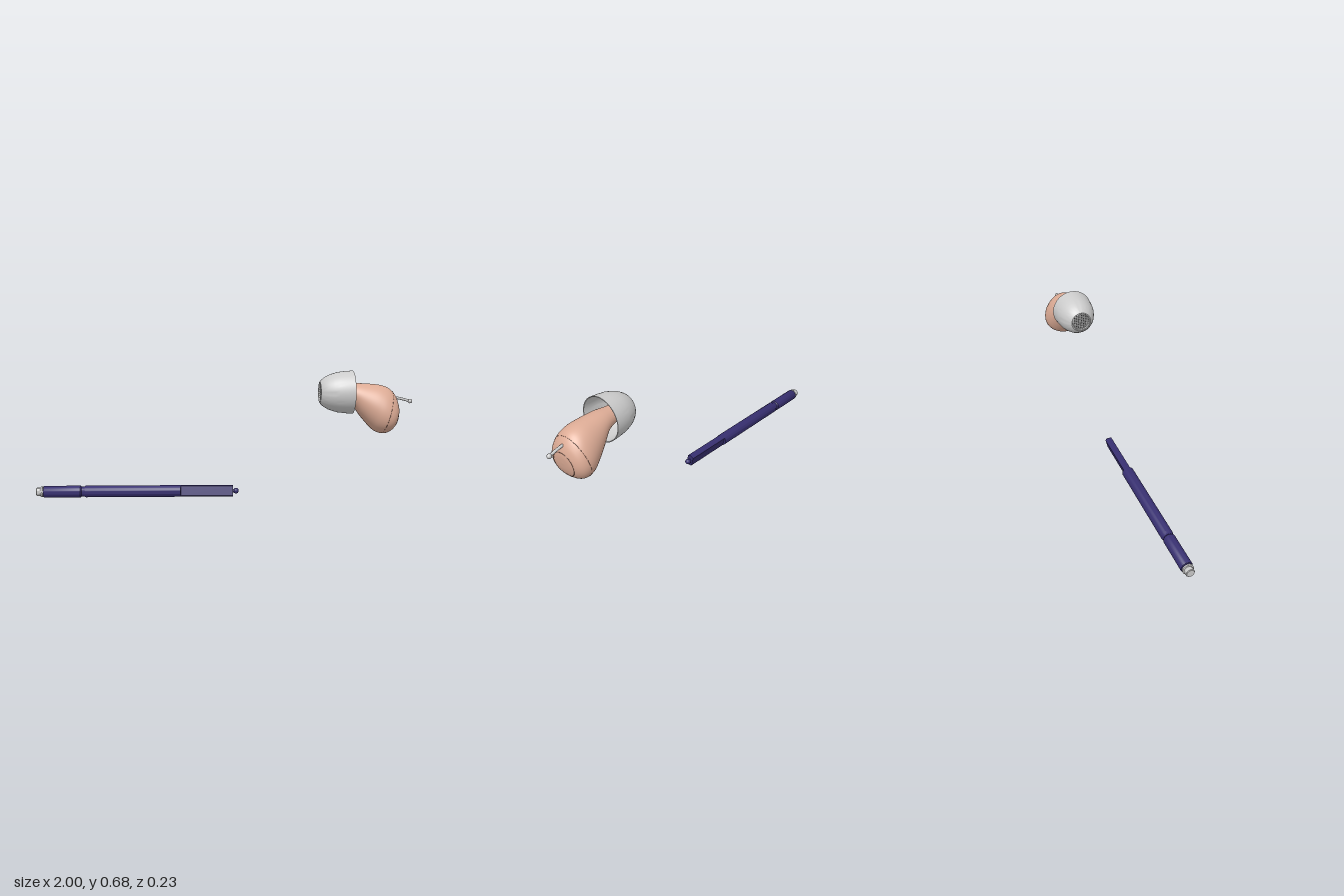
import * as THREE from 'three';
import { toCreasedNormals, mergeVertices } from 'three/addons/utils/BufferGeometryUtils.js';

const mat = (color) => new THREE.MeshStandardMaterial({ color });
const grey = mat(0xcccccc), skin = mat(0xdcab95), seam = mat(0x8a6354);
const navy = mat(0x372f70), dark = mat(0x444444);
const PEN_Y = 0.033;

function add(parent, name, geometry, material, x = 0, y = 0, z = 0) {
  const mesh = new THREE.Mesh(geometry, material);
  mesh.name = name;
  mesh.position.set(x, y, z);
  parent.add(mesh);
  return mesh;
}

// Turned part along x; the profile lists [x, radius]
function turned(profile, segments = 48) {
  const g = new THREE.LatheGeometry(profile.map(([x, r]) => new THREE.Vector2(r, x)), segments);
  g.rotateZ(-Math.PI / 2);
  return toCreasedNormals(g, 0.6);
}

// Thin closed line through points
const loopTube = (pts, r) =>
  new THREE.TubeGeometry(new THREE.CatmullRomCurve3(pts, true), 96, r, 6, true);

// Shell sections: top x, y, half width, then bottom x, y
const SECTIONS = [
  [0.53, 0.602, 0.042, 0.53, 0.522],
  [0.62, 0.605, 0.047, 0.61, 0.52],
  [0.69, 0.61, 0.063, 0.67, 0.503],
  [0.76, 0.608, 0.085, 0.72, 0.44],
  [0.83, 0.6, 0.105, 0.765, 0.388],
  [0.87, 0.585, 0.114, 0.8, 0.357],
  [0.893, 0.565, 0.114, 0.835, 0.345],
  [0.91, 0.54, 0.104, 0.868, 0.35],
  [0.92, 0.512, 0.082, 0.896, 0.373],
  [0.924, 0.485, 0.05, 0.912, 0.405],
  [0.921, 0.445, 0, 0.921, 0.445],
];
const topCurve = new THREE.CatmullRomCurve3(SECTIONS.map((s) => new THREE.Vector3(s[0], s[1], s[2])));
const bottomCurve = new THREE.CatmullRomCurve3(SECTIONS.map((s) => new THREE.Vector3(s[3], s[4], 0)));

// Egg-shaped cross-section, wider at its lower end
function shellPoint(t, a) {
  const top = topCurve.getPoint(t), bottom = bottomCurve.getPoint(t);
  const k = (1 + Math.cos(a)) / 2;
  const egg = 1 - 0.14 * Math.min(1, t * 1.5) * Math.cos(a);
  return new THREE.Vector3(
    bottom.x + (top.x - bottom.x) * k,
    bottom.y + (top.y - bottom.y) * k,
    top.z * Math.sin(a) * egg
  );
}

function shellGeometry(rows = 70, cols = 56) {
  const pos = [], index = [];
  for (let i = 0; i <= rows; i++) {
    for (let j = 0; j < cols; j++) pos.push(...shellPoint(i / rows, (j / cols) * 2 * Math.PI).toArray());
  }
  for (let i = 0; i < rows; i++) {
    for (let j = 0; j < cols; j++) {
      const a = i * cols + j, b = i * cols + ((j + 1) % cols);
      index.push(a, b, a + cols, b, b + cols, a + cols);
    }
  }
  let g = new THREE.BufferGeometry();
  g.setAttribute('position', new THREE.Float32BufferAttribute(pos, 3));
  g.setIndex(index);
  g = mergeVertices(g, 1e-5);
  g.computeVertexNormals();
  return g;
}

function earpiece() {
  const group = new THREE.Group();
  group.name = 'earpiece';
  const shell = add(group, 'shell', shellGeometry(), skin);

  // Find the outer face at a given y, z
  const ray = new THREE.Raycaster();
  const onFace = (y, z) => {
    ray.set(new THREE.Vector3(2, y, z), new THREE.Vector3(-1, 0, 0));
    const hit = ray.intersectObject(shell)[0];
    return hit ? hit.point : new THREE.Vector3(0.9, y, z);
  };
  const ring = (y, r) => Array.from({ length: 32 }, (_, i) => {
    const a = (i / 32) * 2 * Math.PI;
    return onFace(y + r * Math.cos(a), r * Math.sin(a));
  });

  // Seams of the faceplate and battery door
  const plate = Array.from({ length: 40 }, (_, i) => shellPoint(0.59, (i / 40) * 2 * Math.PI));
  add(group, 'faceplateSeam', loopTube(plate, 0.0008), seam);
  add(group, 'batteryDoorSeam', loopTube(ring(0.435, 0.064), 0.0013), seam);

  // Vent near the lower edge
  add(group, 'ventRim', loopTube(ring(0.361, 0.009), 0.0014), seam);

  // Pull cord with a ball end
  const cord = new THREE.CatmullRomCurve3([
    new THREE.Vector3(0.895, 0.536, 0), new THREE.Vector3(0.94, 0.528, 0), new THREE.Vector3(0.988, 0.515, 0),
  ]);
  add(group, 'pullCord', new THREE.TubeGeometry(cord, 16, 0.007, 16), grey);
  add(group, 'pullCordBall', new THREE.SphereGeometry(0.012, 24, 16), grey, 0.988, 0.515, 0);

  // Soft dome, open towards the shell
  const tip = new THREE.Group();
  tip.name = 'earTip';
  tip.position.y = 0.563;
  group.add(tip);
  add(tip, 'dome', turned([
    [0.517, 0], [0.517, 0.047], [0.507, 0.05], [0.507, 0.056], [0.517, 0.068], [0.53, 0.078], [0.55, 0.09],
    [0.575, 0.099], [0.6, 0.106], [0.64, 0.111], [0.68, 0.114], [0.68, 0.11], [0.64, 0.106],
    [0.6, 0.1], [0.57, 0.09], [0.545, 0.078], [0.535, 0.067], [0.535, 0],
  ], 64), grey);

  // Sound outlet with a woven grille
  add(tip, 'outlet', turned([[0.5165, 0], [0.5165, 0.047]]), dark);
  for (let i = -4; i <= 4; i++) {
    const o = i * 0.0105, len = 2 * Math.sqrt(0.047 ** 2 - o * o);
    add(tip, 'grilleBar', new THREE.BoxGeometry(0.003, len, 0.003), grey, 0.5145, 0, o);
    add(tip, 'grilleBar', new THREE.BoxGeometry(0.003, 0.003, len), grey, 0.5145, o, 0);
  }
  return group;
}

function tool() {
  const group = new THREE.Group();
  group.name = 'cleaningTool';
  group.position.y = PEN_Y;

  // Stepped metal tip
  add(group, 'metalTip', turned([
    [-1, 0], [-1, 0.019], [-0.997, 0.022], [-0.977, 0.022], [-0.975, 0.028], [-0.966, 0.028],
    [-0.966, 0.02], [-0.955, 0.02],
  ]), grey);

  // Barrel with a grip groove
  add(group, 'barrel', turned([
    [-0.96, 0], [-0.96, 0.029], [-0.957, 0.031], [-0.765, 0.031], [-0.758, 0.026], [-0.747, 0.026],
    [-0.738, 0.031], [-0.23, 0.031], [-0.23, 0],
  ]), navy);

  // Handle end with two flats, slightly turned
  const r = 0.031, half = Math.acos(0.018 / r), tilt = -0.26;
  const section = new THREE.Shape();
  section.absarc(0, 0, r, half + tilt, Math.PI - half + tilt, false);
  section.absarc(0, 0, r, Math.PI + half + tilt, 2 * Math.PI - half + tilt, false);
  section.closePath();
  const flats = new THREE.ExtrudeGeometry(section, { depth: 0.28, bevelEnabled: false, curveSegments: 20 });
  flats.rotateY(Math.PI / 2);
  add(group, 'flattenedHandle', toCreasedNormals(flats, 0.5), navy, -0.23);

  // Small knob on the end
  add(group, 'knobNeck', turned([[0.045, 0], [0.045, 0.009], [0.066, 0.009], [0.066, 0]], 24), navy);
  add(group, 'knob', new THREE.SphereGeometry(0.015, 24, 16), navy, 0.066);
  return group;
}

export function createModel() {
  const model = new THREE.Group();
  model.name = 'hearingAidSet';
  model.add(earpiece(), tool());

  // Centre on x and z and stand on the ground
  const box = new THREE.Box3().setFromObject(model);
  const c = box.getCenter(new THREE.Vector3());
  model.position.set(-c.x, -box.min.y, -c.z);
  return model;
}
